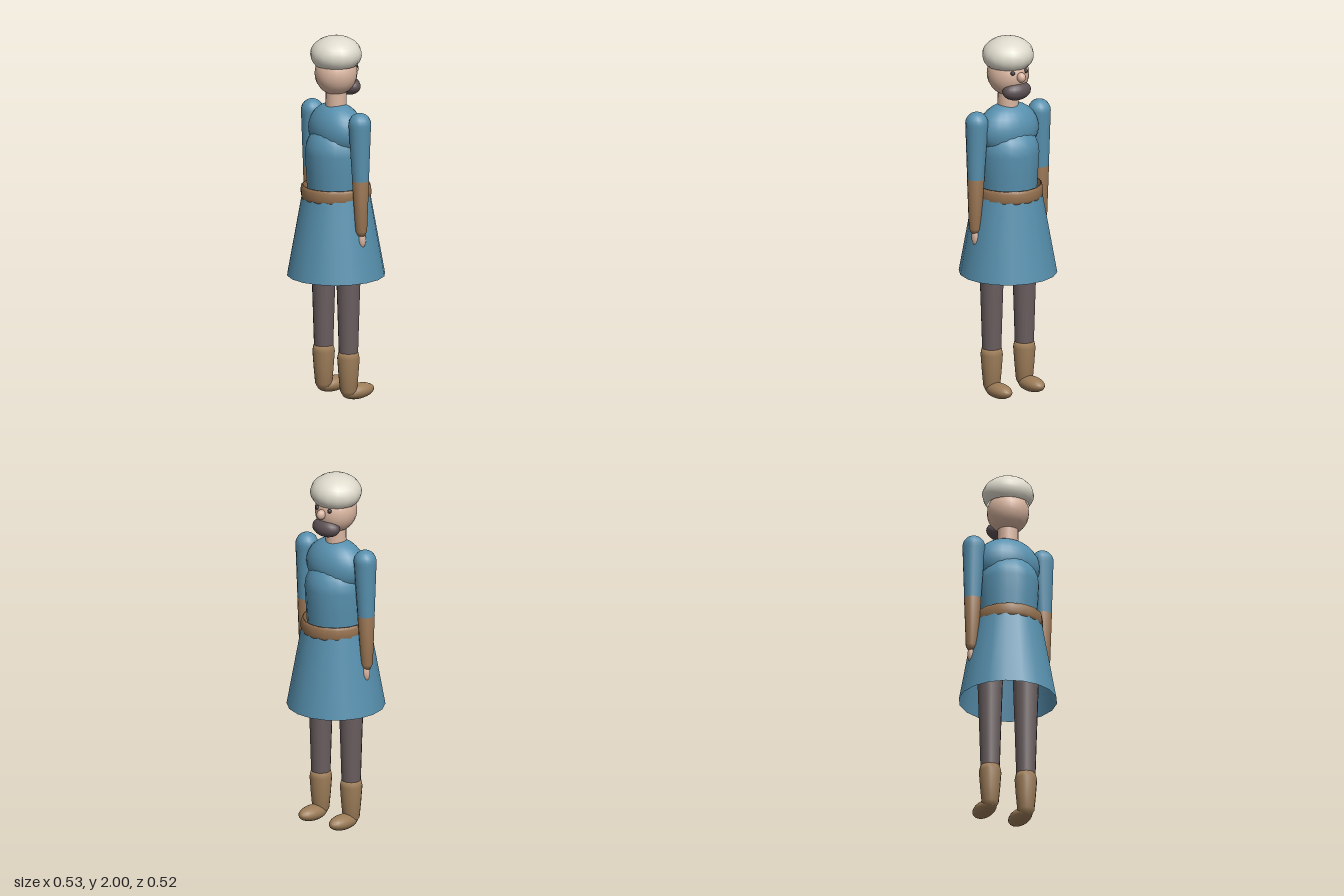
import * as THREE from 'three';

const paint = (name, color, side = THREE.FrontSide) => {
  const m = new THREE.MeshStandardMaterial({ color, side });
  m.name = name;
  return m;
};

export function createModel() {
  const tunic = paint('tunic blue', 0x5790ae, THREE.DoubleSide);
  const leather = paint('leather brown', 0x967250);
  const bootTan = paint('boot tan', 0x9c7c58);
  const trouser = paint('trouser grey', 0x6a5e5f);
  const skin = paint('skin', 0xd8b49f);
  const wool = paint('cap cream', 0xdedacc, THREE.DoubleSide);
  const hair = paint('beard grey', 0x5d5154);
  const dark = paint('eye dark', 0x3a3234);

  const model = new THREE.Group();
  model.name = 'figure';

  const add = (parent, name, geometry, material, x = 0, y = 0, z = 0) => {
    const mesh = new THREE.Mesh(geometry, material);
    mesh.name = name;
    mesh.position.set(x, y, z);
    parent.add(mesh);
    return mesh;
  };
  const ball = (rx, ry, rz, w = 20, h = 14) => new THREE.SphereGeometry(1, w, h).scale(rx, ry, rz);
  // profile listed from bottom to top as [radius, height]
  const lathe = (points, sides = 16) =>
    new THREE.LatheGeometry(points.map(([r, y]) => new THREE.Vector2(r, y)), sides);

  // Head, facing -z
  const head = new THREE.Group();
  head.name = 'head';
  model.add(head);
  add(head, 'skull', ball(0.113, 0.12, 0.117), skin, 0, 1.795, 0);
  add(head, 'neck', new THREE.CylinderGeometry(0.055, 0.058, 0.14, 16), skin, 0, 1.65, 0);
  add(head, 'nose', ball(0.024, 0.028, 0.028, 12, 8), skin, 0, 1.8, -0.122);
  add(head, 'beard', ball(0.086, 0.052, 0.057), hair, 0, 1.716, -0.08);
  for (const s of [1, -1]) {
    add(head, 'eye', ball(0.012, 0.012, 0.012, 10, 8), dark, s * 0.043, 1.825, -0.103);
  }
  // Cap is a flattened dome curling in at the brim
  const cap = new THREE.SphereGeometry(1, 16, 12, 0, Math.PI * 2, 0, Math.PI * 0.7);
  add(head, 'cap', cap.scale(0.14, 0.1, 0.14), wool, 0, 1.9, 0);

  // Torso: domed trunk with a broad shoulder mass above it
  const trunk = [[0, 1.02], [0.145, 1.02], [0.156, 1.14], [0.163, 1.26], [0.169, 1.36]];
  for (let i = 1; i <= 6; i++) {
    const a = (i / 6) * Math.PI / 2;
    trunk.push([0.169 * Math.cos(a), 1.36 + 0.17 * Math.sin(a)]);
  }
  add(model, 'trunk', lathe(trunk, 18).rotateY(Math.PI / 18), tunic);
  add(model, 'shoulders', ball(0.182, 0.15, 0.127, 24, 16), tunic, 0, 1.483, 0);

  // Open flared skirt and belt ring
  add(model, 'skirt', new THREE.CylinderGeometry(0.183, 0.266, 0.46, 18, 1, true).rotateY(Math.PI / 18),
    tunic, 0, 0.91, 0);
  const belt = lathe([[0.182, 1.105], [0.189, 1.108], [0.194, 1.122], [0.195, 1.143],
    [0.194, 1.164], [0.189, 1.178], [0.182, 1.181], [0.182, 1.105]]);
  add(model, 'belt', belt.scale(0.96, 1, 1), leather);

  for (const s of [1, -1]) {
    const side = s > 0 ? 'left' : 'right';

    // Arm hangs from the shoulder and leans slightly outward
    const arm = new THREE.Group();
    arm.name = side + 'Arm';
    arm.position.set(s * 0.207, 1.55, 0);
    arm.rotation.z = s * 0.022;
    model.add(arm);
    const sleeve = [[0.046, -0.315], [0.061, -0.02]];
    for (let i = 0; i <= 6; i++) {
      const a = (i / 6) * Math.PI / 2;
      sleeve.push([0.062 * Math.cos(a), 0.062 * Math.sin(a)]);
    }
    add(arm, 'sleeve', lathe(sleeve, 14), tunic);
    add(arm, 'forearm', lathe([[0, -0.62], [0.02, -0.615], [0.032, -0.59], [0.047, -0.312], [0, -0.312]], 14), leather);
    add(arm, 'hand', ball(0.019, 0.046, 0.022, 12, 10), skin, 0, -0.637, -0.005);

    // Leg with boot, toes pointing to -z
    const leg = new THREE.Group();
    leg.name = side + 'Leg';
    leg.position.x = s * 0.108;
    model.add(leg);
    add(leg, 'thigh', new THREE.CylinderGeometry(0.076, 0.06, 0.48, 16), trouser, 0, 0.755, 0);
    add(leg, 'shin', new THREE.CylinderGeometry(0.06, 0.051, 0.29, 16), trouser, 0, 0.37, 0);
    add(leg, 'bootShaft', lathe([[0, 0.02], [0.03, 0.025], [0.046, 0.055], [0.054, 0.14],
      [0.061, 0.235], [0.054, 0.268], [0, 0.27]]), bootTan);
    add(leg, 'bootFoot', ball(0.052, 0.042, 0.102), bootTan, 0, 0.043, -0.066).rotation.x = 0.05;
  }

  return model;
}
